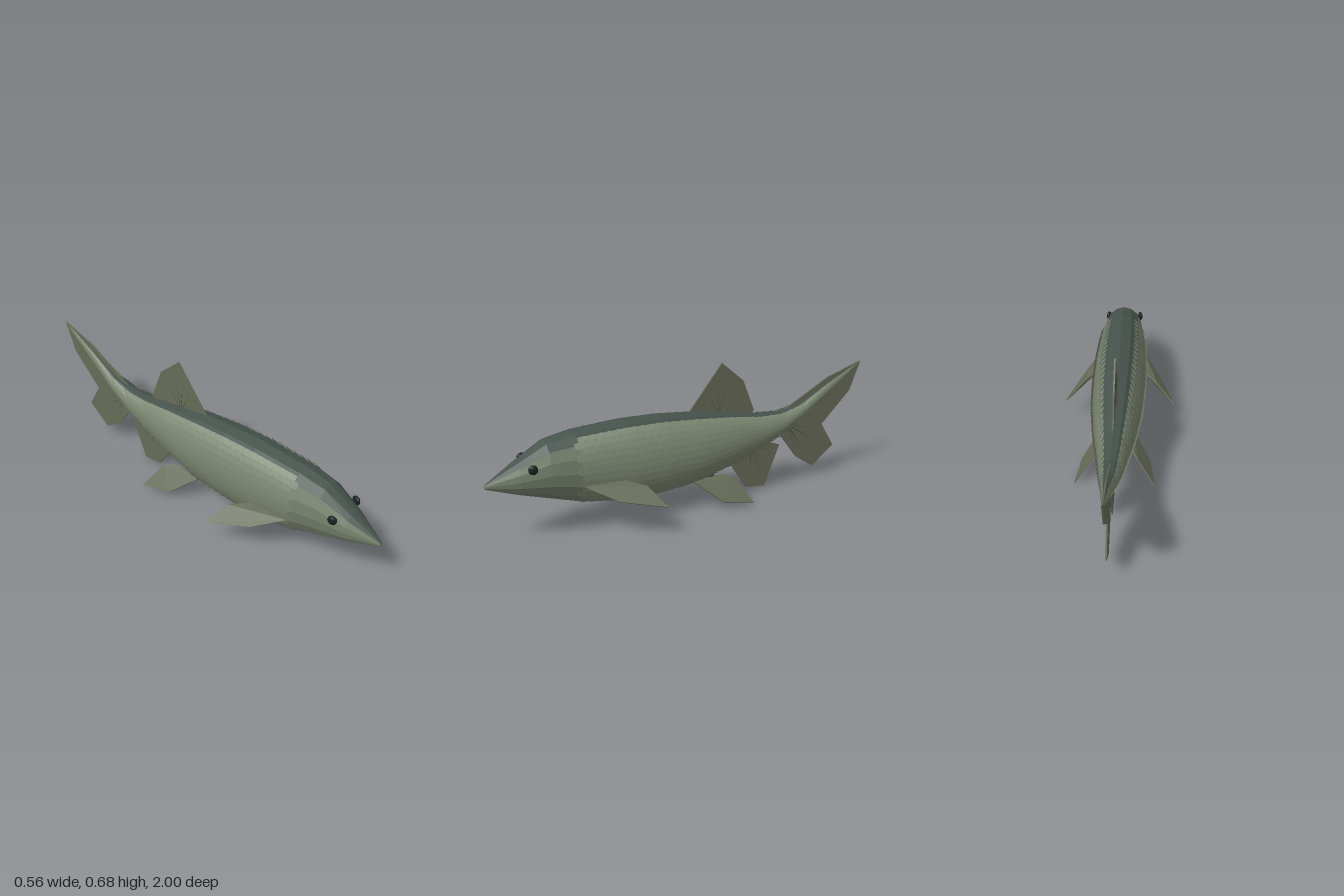
import * as THREE from 'three';
import { ConvexGeometry } from 'three/addons/geometries/ConvexGeometry.js';
import { mergeGeometries } from 'three/addons/utils/BufferGeometryUtils.js';

const mat = (color) => new THREE.MeshStandardMaterial({ color, flatShading: true, side: THREE.DoubleSide });
const BACK = mat(0x46524c), FLANK = mat(0x737e6a), BELLY = mat(0x716a5a);
const SCALE = mat(0x79846f), FIN = mat(0x666b57), RAY = mat(0x3c4238), EYE = mat(0x18211f);

// Body stations: z, top, bottom, half width
const STATIONS = [
  [1, 0.29, 0.27, 0.008], [0.86, 0.375, 0.22, 0.068], [0.73, 0.45, 0.178, 0.1],
  [0.6, 0.475, 0.136, 0.118], [0.36, 0.488, 0.095, 0.13], [0.18, 0.483, 0.098, 0.129],
  [0, 0.465, 0.112, 0.12], [-0.2, 0.435, 0.163, 0.098], [-0.36, 0.402, 0.213, 0.073],
  [-0.5, 0.39, 0.268, 0.054], [-0.62, 0.415, 0.335, 0.04], [-0.8, 0.505, 0.44, 0.02],
  [-1, 0.592, 0.58, 0.002],
];
const SIDES = 16;

// Point on the body at distance z and angle a (0 = left flank, 90 degrees = back)
function bodyPoint(z, a, lift = 0) {
  let i = 0;
  while (i < STATIONS.length - 2 && z < STATIONS[i + 1][0]) i++;
  const p = STATIONS[i], q = STATIONS[i + 1];
  const t = (p[0] - z) / (p[0] - q[0]);
  const [top, bottom, w] = [1, 2, 3].map((k) => p[k] + (q[k] - p[k]) * t);
  const l = lift * Math.min(1, w / 0.05);
  return [Math.cos(a) * (w + l), (top + bottom) / 2 + Math.sin(a) * ((top - bottom) / 2 + l), z];
}

function fromTriangles(list) {
  const g = new THREE.BufferGeometry();
  g.setAttribute('position', new THREE.Float32BufferAttribute(list.flat(), 3));
  g.computeVertexNormals();
  return g;
}

function add(group, name, geometry, material) {
  const m = new THREE.Mesh(geometry, material);
  m.name = name;
  group.add(m);
  return m;
}

// Lengthwise strip of the body between two side numbers
function bodyStrip(ranges) {
  const tris = [];
  for (const [from, to] of ranges) {
    for (let s = 0; s < STATIONS.length - 1; s++) {
      for (let i = from; i < to; i++) {
        const a0 = (i / SIDES) * Math.PI * 2, a1 = ((i + 1) / SIDES) * Math.PI * 2;
        const z0 = STATIONS[s][0], z1 = STATIONS[s + 1][0];
        const A = bodyPoint(z0, a0), B = bodyPoint(z1, a0), C = bodyPoint(z1, a1), D = bodyPoint(z0, a1);
        tris.push(A, B, D, B, C, D);
      }
    }
  }
  return fromTriangles(tris);
}

// Overlapping five-cornered scales on one flank, rows staggered
function scales(side) {
  const tris = [], rows = 12, range = THREE.MathUtils.degToRad(122), step = range / rows;
  for (let r = 0; r < rows; r++) {
    const a = -range / 2 - 0.03 + (r + 0.5) * step, d = step * 0.56;
    for (let n = 0; n < 39; n++) {
      const z = 0.62 - n * 0.04 - (r % 2) * 0.02;
      const pts = [
        bodyPoint(z, a - d, 0.001), bodyPoint(z - 0.034, a - d, 0.006), bodyPoint(z - 0.052, a, 0.009),
        bodyPoint(z - 0.034, a + d, 0.006), bodyPoint(z, a + d, 0.001),
      ].map(([x, y, zz]) => [x * side, y, zz]);
      for (let k = 1; k < 4; k++) {
        const [p, q] = side > 0 ? [k, k + 1] : [k + 1, k];
        tris.push(pts[0], pts[p], pts[q]);
      }
    }
  }
  return fromTriangles(tris);
}

// Thin rod joining two points
function rod(from, to, r) {
  const a = new THREE.Vector3(...from), b = new THREE.Vector3(...to);
  const dir = b.clone().sub(a);
  const g = new THREE.CylinderGeometry(r * 0.6, r, dir.length(), 4);
  g.applyQuaternion(new THREE.Quaternion().setFromUnitVectors(new THREE.Vector3(0, 1, 0), dir.normalize()));
  return g.translate(...a.add(b).multiplyScalar(0.5).toArray());
}

// Upright fin on the midline: outline in [z, y], with rays fanning from a root
function medianFin(group, name, outline, root, tips) {
  const fin = new THREE.Group();
  fin.name = name;
  const shape = new THREE.Shape(outline.map(([z, y]) => new THREE.Vector2(z, y)));
  const g = new THREE.ExtrudeGeometry(shape, { depth: 0.007, bevelEnabled: false });
  add(fin, name + 'Web', g.translate(0, 0, -0.0035).rotateY(-Math.PI / 2), FIN);
  if (tips.length) {
    const rods = tips.map(([z, y]) => rod([0, root[1], root[0]], [0, y, z], 0.0052));
    add(fin, name + 'Rays', mergeGeometries(rods), RAY);
  }
  group.add(fin);
}

// Flat fin of a mirrored pair, thickened along its normal
function pairedFin(group, name, points, side) {
  const v = points.map(([x, y, z]) => new THREE.Vector3(x * side, y, z));
  const n = v[2].clone().sub(v[0]).cross(v[3].clone().sub(v[1])).normalize().multiplyScalar(0.003);
  add(group, name, new ConvexGeometry(v.flatMap((p) => [p.clone().add(n), p.clone().sub(n)])), FIN);
}

export function createModel() {
  const fish = new THREE.Group();
  fish.name = 'fish';

  // Body in three colour bands, closed at the snout
  add(fish, 'back', bodyStrip([[2, 6]]), BACK);
  add(fish, 'flanks', bodyStrip([[-3, 2], [6, 11]]), FLANK);
  add(fish, 'belly', bodyStrip([[11, 13]]), BELLY);
  const mouth = add(fish, 'mouth', new THREE.CylinderGeometry(0.008, 0.008, 0.006, 8), FLANK);
  mouth.rotation.x = Math.PI / 2;
  mouth.scale.z = 1.25;
  mouth.position.set(0, 0.28, 0.997);

  // Midline fins
  medianFin(fish, 'dorsalFin',
    [[0.03, 0.44], [0.02, 0.46], [-0.16, 0.68], [-0.28, 0.58], [-0.345, 0.42], [-0.3, 0.38]],
    [-0.15, 0.42], [[-0.07, 0.56], [-0.13, 0.61], [-0.19, 0.62], [-0.25, 0.56], [-0.29, 0.5]]);
  medianFin(fish, 'analFin',
    [[-0.2, 0.18], [-0.31, 0.015], [-0.42, 0.002], [-0.505, 0.21], [-0.36, 0.27]],
    [-0.33, 0.23], [[-0.28, 0.09], [-0.34, 0.05], [-0.4, 0.05], [-0.44, 0.12], [-0.47, 0.19]]);
  medianFin(fish, 'tailFin',
    [[-0.48, 0.3], [-0.615, 0.123], [-0.72, 0.055], [-0.85, 0.15], [-0.77, 0.28], [-0.94, 0.44],
      [-1, 0.588], [-0.8, 0.475], [-0.6, 0.36]],
    [-0.54, 0.32], [[-0.63, 0.15], [-0.7, 0.11], [-0.78, 0.16], [-0.75, 0.25], [-0.82, 0.36], [-0.91, 0.46]]);
  medianFin(fish, 'tailRidge', [[-0.48, 0.37], [-0.56, 0.41], [-0.79, 0.528], [-1, 0.592], [-0.8, 0.48]], [0, 0], []);

  // Mirrored parts
  for (const side of [1, -1]) {
    const label = side > 0 ? 'left' : 'right';
    add(fish, label + 'Scales', scales(side), SCALE);
    pairedFin(fish, label + 'PectoralFin',
      [[0.115, 0.243, 0.6], [0.2, 0.178, 0.47], [0.28, 0.14, 0.27], [0.19, 0.222, 0.33], [0.115, 0.243, 0.42]], side);
    pairedFin(fish, label + 'PelvicFin',
      [[0.08, 0.14, 0.035], [0.165, 0.045, -0.08], [0.19, 0.02, -0.235], [0.105, 0.13, -0.175], [0.075, 0.15, -0.12]], side);
    const eye = add(fish, label + 'Eye', new THREE.SphereGeometry(0.022, 10, 6), EYE);
    eye.scale.x = 0.55;
    eye.rotation.y = side * -0.25;
    eye.position.set(side * 0.087, 0.353, 0.81);
  }
  return fish;
}
